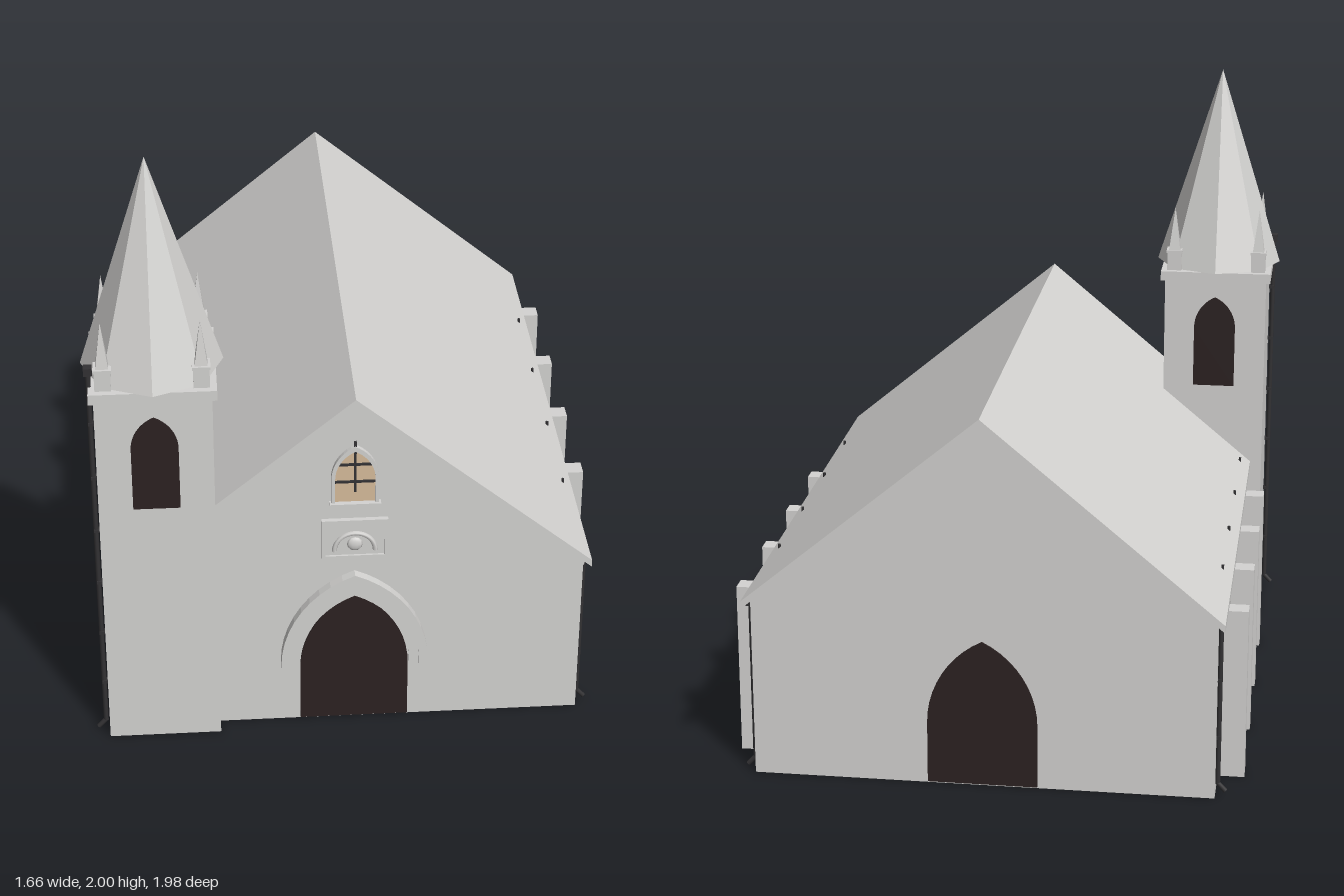
import * as THREE from 'three';

const mat = (name, color, extra = {}) => {
  const m = new THREE.MeshStandardMaterial({ color, ...extra });
  m.name = name;
  return m;
};

export function createModel() {
  const stone = mat('pale stone', 0xd5d4d2);
  const opening = mat('dark opening', 0x2c2222);
  const glass = mat('warm glass', 0xd8bd9c);
  const iron = mat('iron', 0x333234);

  const root = new THREE.Group();
  root.name = 'church';

  const add = (parent, name, geo, material, x = 0, y = 0, z = 0) => {
    const m = new THREE.Mesh(geo, material);
    m.name = name;
    m.position.set(x, y, z);
    parent.add(m);
    return m;
  };
  const box = (parent, name, material, w, h, d, x, y, z) =>
    add(parent, name, new THREE.BoxGeometry(w, h, d), material, x, y, z);
  const extrude = (pts, depth, bevel = 0) =>
    new THREE.ExtrudeGeometry(new THREE.Shape(pts), {
      depth, bevelEnabled: bevel > 0, bevelSize: bevel, bevelThickness: bevel, bevelSegments: 1,
    });

  // Pointed arch outline, from bottom right over the tip to bottom left
  const archPoints = (half, base, spring, peak, n = 10) => {
    const h = peak - spring;
    const R = (half * half + h * h) / (2 * half);
    const end = Math.asin(h / R);
    const right = [new THREE.Vector2(half, base)];
    for (let i = 0; i <= n; i++) {
      const a = (end * i) / n;
      right.push(new THREE.Vector2(half - R + R * Math.cos(a), spring + R * Math.sin(a)));
    }
    const left = right.slice(0, -1).reverse().map((p) => new THREE.Vector2(-p.x, p.y));
    return [...right, ...left];
  };
  const archPlate = (...a) => extrude(archPoints(...a), 0.006);
  const archBand = (outer, inner, depth) =>
    extrude([...archPoints(...outer), ...archPoints(...inner).reverse()], depth);

  // Nave, symmetrical about its own ridge
  const nave = new THREE.Group();
  nave.name = 'nave';
  nave.position.x = 0.006;
  root.add(nave);
  const V = (x, y) => new THREE.Vector2(x, y);
  add(nave, 'naveWalls',
    extrude([V(-0.735, 0), V(0.735, 0), V(0.735, 0.588), V(0, 1.195), V(-0.735, 0.588)], 1.845),
    stone, 0, 0, -0.95);
  add(nave, 'roof',
    extrude([V(0.758, 0.575), V(0.758, 0.6), V(0, 1.23), V(-0.758, 0.6), V(-0.758, 0.575), V(0, 1.2)], 1.913),
    stone, 0, 0, -0.99);
  // Thin moulding under the front roof edge
  add(nave, 'gableTrim',
    extrude([V(0.736, 0.57), V(0.736, 0.6), V(0, 1.208), V(-0.736, 0.6), V(-0.736, 0.57), V(0, 1.178)], 0.012),
    stone, 0, 0, 0.895);

  // Doors, front one with a stepped surround
  add(nave, 'frontDoor', archPlate(0.175, 0.005, 0.21, 0.49), opening, 0, 0, 0.895);
  add(nave, 'backDoor', archPlate(0.175, 0.005, 0.21, 0.49), opening, 0, 0, -0.95).rotation.y = Math.PI;
  add(nave, 'doorArchInner', archBand([0.21, 0.22, 0.235, 0.54], [0.178, 0.22, 0.23, 0.493], 0.018),
    stone, 0, 0, 0.895);
  add(nave, 'doorArchOuter', archBand([0.238, 0.22, 0.235, 0.58], [0.209, 0.22, 0.235, 0.539], 0.032),
    stone, 0, 0, 0.895);

  // Glazed window with frame, sill and bars; local origin is the middle of the sill
  const makeWindow = (half, spring, peak, bars, stem) => {
    const g = new THREE.Group();
    g.name = 'window';
    add(g, 'windowGlass', archPlate(half, 0, spring, peak), glass);
    add(g, 'windowFrame', archBand([half + 0.012, 0, spring, peak + 0.018], [half, 0, spring, peak], 0.015), stone);
    box(g, 'windowSill', stone, half * 2 + 0.036, 0.012, 0.024, 0, -0.004, 0.012);
    box(g, 'windowStem', iron, 0.008, stem[1] - stem[0], 0.006, 0, (stem[0] + stem[1]) / 2, 0.009);
    for (const y of bars) box(g, 'windowBar', iron, half * 2, 0.007, 0.006, 0, y, 0.009);
    return g;
  };
  const gableWindow = makeWindow(0.063, 0.09, 0.19, [0.077, 0.14], [0.04, 0.225]);
  gableWindow.position.set(0, 0.845, 0.895);
  nave.add(gableWindow);

  // Carved plaque: raised border, arch and rays
  const plaque = new THREE.Group();
  plaque.name = 'plaque';
  plaque.position.set(0, 0.708, 0.895);
  nave.add(plaque);
  box(plaque, 'plaqueSlab', stone, 0.21, 0.145, 0.012, 0, 0, 0.003);
  for (const s of [-1, 1]) {
    box(plaque, 'plaqueSide', stone, 0.012, 0.145, 0.008, s * 0.099, 0, 0.012);
    box(plaque, 'plaqueEdge', stone, 0.21, 0.012, 0.008, 0, s * 0.0665, 0.012);
  }
  add(plaque, 'plaqueArch', new THREE.TorusGeometry(0.065, 0.008, 6, 16, Math.PI), stone, 0, -0.045, 0.009);
  add(plaque, 'plaqueRelief', new THREE.SphereGeometry(0.025, 10, 6), stone, 0, -0.02, 0.009).scale.z = 0.4;

  // Downpipe on a side wall; s is the outward x direction
  const downpipe = (parent, s, x, z, top) => {
    const g = new THREE.Group();
    g.name = 'downpipe';
    g.position.set(x, 0, z);
    parent.add(g);
    add(g, 'pipe', new THREE.CylinderGeometry(0.008, 0.008, top - 0.04, 8), iron, 0, (top + 0.04) / 2, 0);
    add(g, 'pipeFoot', new THREE.CylinderGeometry(0.008, 0.008, 0.04, 8), iron, s * 0.011, 0.027, 0)
      .rotation.z = s * 0.75;
    box(g, 'pipeHopper', iron, 0.026, 0.026, 0.028, 0, top - 0.01, 0);
    const n = Math.max(3, Math.round(top / 0.2));
    for (let i = 1; i < n; i++) box(g, 'pipeBracket', iron, 0.02, 0.01, 0.022, -s * 0.004, (top * i) / n, 0);
  };

  // Side walls: windows, roof pins, buttresses and downpipes
  for (const s of [-1, 1]) {
    for (const z of [0.51, 0.15, -0.21, -0.57]) {
      const w = makeWindow(0.046, 0.2, 0.305, [0.115, 0.215], [0.085, 0.3]);
      w.position.set(s * 0.735, 0.25, z);
      w.rotation.y = (s * Math.PI) / 2;
      nave.add(w);
      add(nave, 'roofPin', new THREE.CylinderGeometry(0.005, 0.005, 0.04, 6), iron, s * 0.725, 0.62, z - 0.005);
    }
    for (const z of [0.33, -0.032, -0.393, -0.755])
      box(nave, 'buttress', stone, 0.1, 0.567, 0.06, s * 0.77, 0.2835, z);
    downpipe(nave, s, s * 0.742, -0.915, 0.585);
    if (s > 0) downpipe(nave, s, 0.742, 0.86, 0.585);
  }

  // Tower with openings to front and back
  const tower = new THREE.Group();
  tower.name = 'tower';
  tower.position.set(-0.612, 0, 0.768);
  root.add(tower);
  box(tower, 'towerWalls', stone, 0.36, 1.275, 0.364, 0, 0.6375, 0);
  box(tower, 'towerCornice', stone, 0.39, 0.034, 0.39, 0, 1.288, 0);
  for (const s of [-1, 1])
    add(tower, 'towerOpening', archPlate(0.073, 0.885, 1.1, 1.212), opening, 0, 0, s * 0.182)
      .rotation.y = s > 0 ? 0 : Math.PI;

  // Eight-sided spire with corner pinnacles
  const spire = new THREE.ConeGeometry(0.22, 0.693, 8).toNonIndexed();
  spire.computeVertexNormals();
  add(tower, 'spire', spire, stone, 0, 1.6535, 0);
  for (const sx of [-1, 1]) for (const sz of [-1, 1]) {
    const p = new THREE.Group();
    p.name = 'pinnacle';
    p.position.set(sx * 0.149, 1.303, sz * 0.149);
    tower.add(p);
    box(p, 'pinnacleBase', stone, 0.05, 0.065, 0.05, 0, 0.0325, 0);
    box(p, 'pinnacleCap', stone, 0.056, 0.01, 0.056, 0, 0.07, 0);
    const spike = new THREE.ConeGeometry(0.028, 0.15, 4).toNonIndexed();
    spike.rotateY(Math.PI / 4);
    spike.computeVertexNormals();
    add(p, 'pinnacleSpike', spike, stone, 0, 0.15, 0);
  }
  downpipe(tower, -1, -0.193, 0.14, 1.37);

  return root;
}
